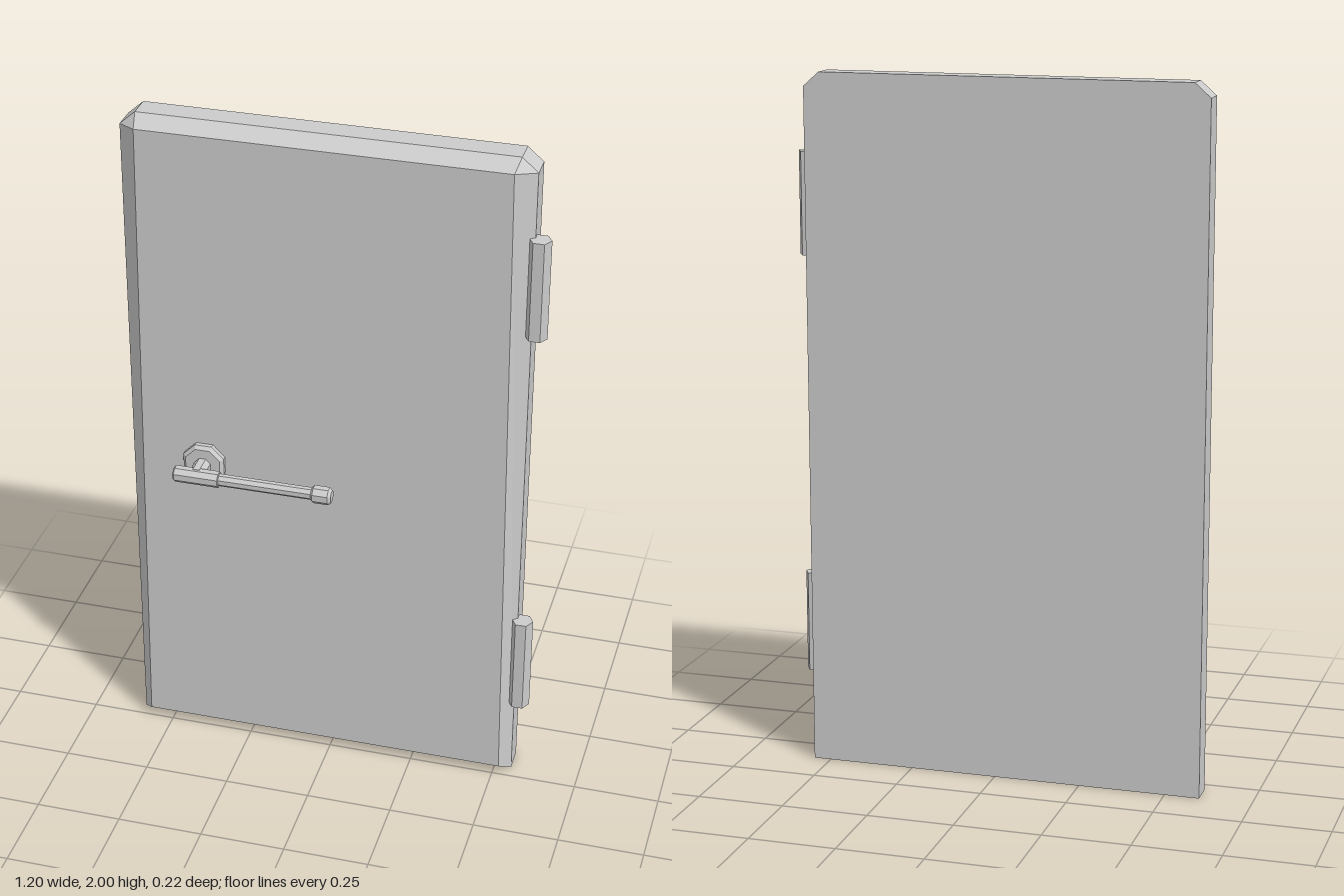
import * as THREE from 'three';

const material = new THREE.MeshStandardMaterial({ color: 0xcccccc, flatShading: true });

function addMesh(parent, name, geometry, x = 0, y = 0, z = 0) {
  const mesh = new THREE.Mesh(geometry, material);
  mesh.name = name;
  mesh.position.set(x, y, z);
  parent.add(mesh);
  return mesh;
}

// Door slab: outlines stacked from back to front, the last one inset for the bevel
function slabGeometry() {
  const outer = [[-0.6, 0], [0.55, 0], [0.55, 1.96], [0.505, 2], [-0.555, 2], [-0.6, 1.96]];
  const inner = [[-0.566, 0.032], [0.52, 0.032], [0.495, 1.97], [0.495, 1.97], [-0.545, 1.97], [-0.545, 1.97]];
  const at = (ring, z) => ring.map(([x, y]) => [x, y, z]);
  const rings = [at(outer, -0.112), at(outer, -0.041), at(inner, 0.005)];
  const positions = [];
  const tri = (a, b, c) => positions.push(...a, ...b, ...c);
  const same = (a, b) => a.every((v, k) => v === b[k]);
  for (let r = 0; r < 2; r++) {
    for (let i = 0; i < 6; i++) {
      const j = (i + 1) % 6;
      const [a, b] = [rings[r], rings[r + 1]];
      tri(a[i], a[j], b[j]);
      if (!same(b[i], b[j])) tri(a[i], b[j], b[i]);
    }
  }
  // Back and front caps
  for (let i = 1; i < 5; i++) tri(rings[0][0], rings[0][i + 1], rings[0][i]);
  const f = rings[2];
  tri(f[0], f[1], f[2]);
  tri(f[0], f[2], f[4]);
  const geometry = new THREE.BufferGeometry();
  geometry.setAttribute('position', new THREE.Float32BufferAttribute(positions, 3));
  geometry.computeVertexNormals();
  return geometry;
}

// Eight-sided turned part with chamfered ends, along y from 0 to length
function turned(radius, length, startChamfer, endChamfer) {
  const profile = [
    [0, 0], [radius - startChamfer, 0], [radius, startChamfer],
    [radius, length - endChamfer], [radius - endChamfer, length], [0, length],
  ].map(([r, y]) => new THREE.Vector2(r, y));
  return new THREE.LatheGeometry(profile, 8, Math.PI / 8);
}

export function createModel() {
  const door = new THREE.Group();
  door.name = 'door';
  addMesh(door, 'doorSlab', slabGeometry());

  // Hexagonal hinge barrels on the left edge
  for (const [name, y] of [['lowerHinge', 0.398], ['upperHinge', 1.625]]) {
    const barrel = new THREE.CylinderGeometry(0.031, 0.031, 0.295, 6).rotateY(Math.PI / 2);
    addMesh(door, name, barrel, 0.565, y, -0.034);
  }

  // Lever handle
  const handle = new THREE.Group();
  handle.name = 'handle';
  handle.position.set(-0.37, 0.952, 0.004);
  door.add(handle);
  addMesh(handle, 'rosette', turned(0.065, 0.024, 0.001, 0.01).rotateX(Math.PI / 2));
  addMesh(handle, 'stem', turned(0.025, 0.07, 0.001, 0.001).rotateX(Math.PI / 2), 0, 0, 0.015);
  const along = (geometry) => geometry.rotateZ(-Math.PI / 2);
  addMesh(handle, 'leverHub', along(turned(0.024, 0.135, 0.005, 0.002)), -0.066, 0, 0.083);
  addMesh(handle, 'leverBar', along(turned(0.018, 0.3, 0.001, 0.001)), 0.055, 0, 0.083);
  addMesh(handle, 'leverTip', along(turned(0.026, 0.058, 0.006, 0.008)), 0.341, 0, 0.083);

  return door;
}
